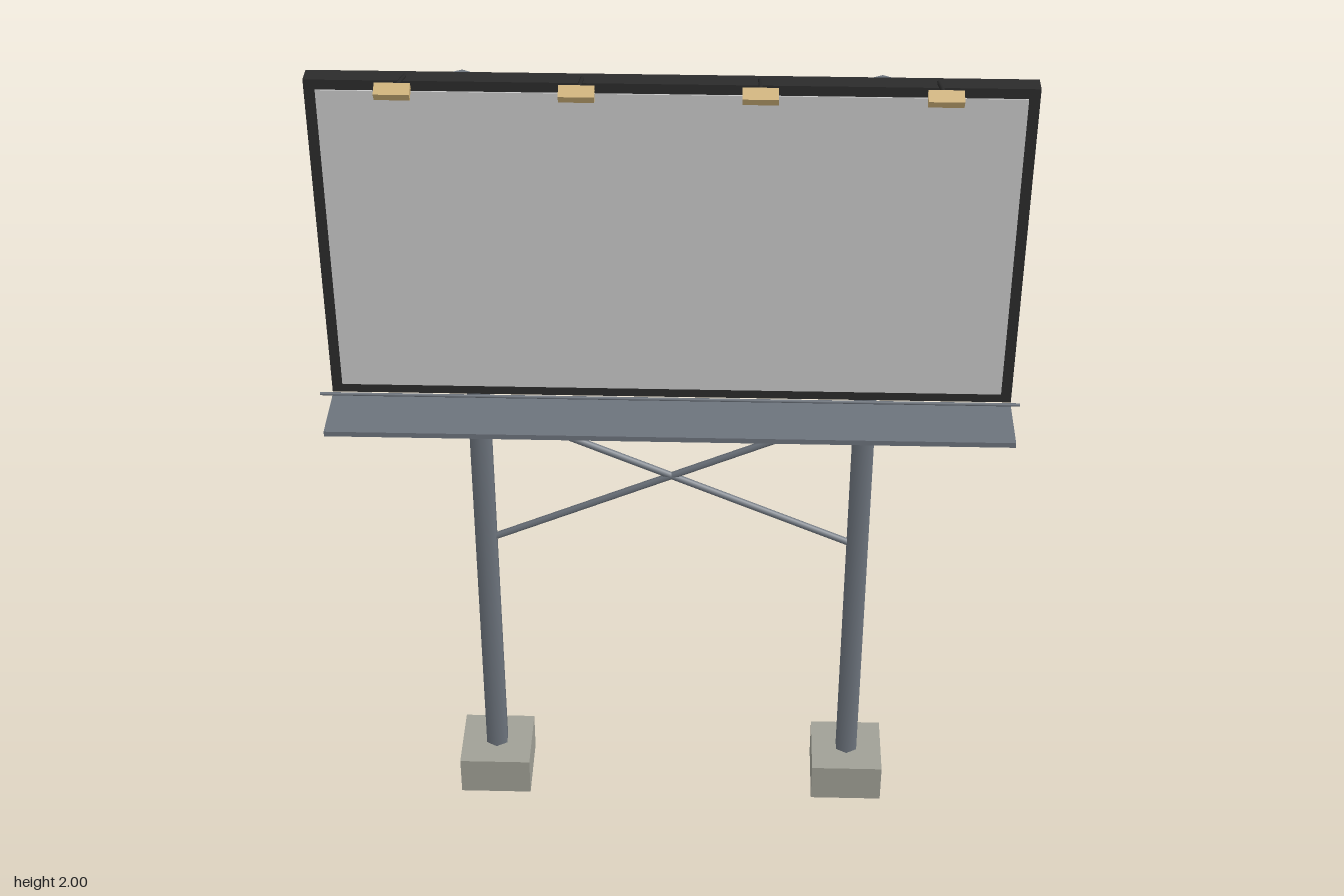
import * as THREE from 'three';

const mat = (name, color) => {
  const m = new THREE.MeshStandardMaterial({ color });
  m.name = name;
  return m;
};

export function createModel() {
  const steel = mat('steel grey', 0x6c737c);
  const dark = mat('frame black', 0x2b2b2b);
  const panel = mat('panel light grey', 0xc8c8c8);
  const concrete = mat('concrete', 0xa0a096);
  const brass = mat('lamp tan', 0xcdb078);

  const model = new THREE.Group();
  model.name = 'billboard';

  const add = (name, geometry, material, x, y, z) => {
    const mesh = new THREE.Mesh(geometry, material);
    mesh.name = name;
    mesh.position.set(x, y, z);
    model.add(mesh);
    return mesh;
  };
  const box = (name, w, h, d, material, x, y, z) =>
    add(name, new THREE.BoxGeometry(w, h, d), material, x, y, z);

  // Round bar between two points
  const bar = (name, a, b, radius, material) => {
    const from = new THREE.Vector3(...a), to = new THREE.Vector3(...b);
    const dir = to.clone().sub(from);
    const mid = from.clone().add(to).multiplyScalar(0.5);
    const mesh = add(name, new THREE.CylinderGeometry(radius, radius, dir.length(), 6), material, mid.x, mid.y, mid.z);
    mesh.quaternion.setFromUnitVectors(new THREE.Vector3(0, 1, 0), dir.normalize());
    return mesh;
  };

  const poleX = 0.427, poleZ = -0.079, width = 1.474;

  // Footings, posts and crossed braces
  for (const [side, s] of [['left', 1], ['right', -1]]) {
    box(`${side}Footing`, 0.168, 0.097, 0.168, concrete, s * poleX, 0.0485, poleZ);
    add(`${side}Post`, new THREE.CylinderGeometry(0.0265, 0.0285, 1.88, 6), steel, s * poleX, 0.965, poleZ);
    bar(`${side}Brace`, [s * poleX, 1.098, poleZ], [-s * poleX, 0.717, poleZ], 0.008, steel);
  }

  // Board with its face plate
  box('boardFrame', width, 0.756, 0.042, dark, 0, 1.549, -0.031);
  box('displayPanel', 1.428, 0.712, 0.005, panel, 0, 1.549, -0.0095);

  // Walkway and hand rail
  box('walkway', width, 0.012, 0.142, steel, 0, 1.16, 0.064);
  bar('handRail', [-width / 2, 1.262, 0.131], [width / 2, 1.262, 0.131], 0.0035, steel);

  // Lamps on slanted arms
  [-0.535, -0.178, 0.178, 0.535].forEach((x, i) => {
    bar(`lampArm${i + 1}`, [x, 1.925, -0.038], [x, 1.986, 0.142], 0.0042, dark);
    const lamp = box(`lamp${i + 1}`, 0.07, 0.0185, 0.028, brass, x, 1.985, 0.147);
    lamp.rotation.x = 0.5;
  });

  return model;
}
